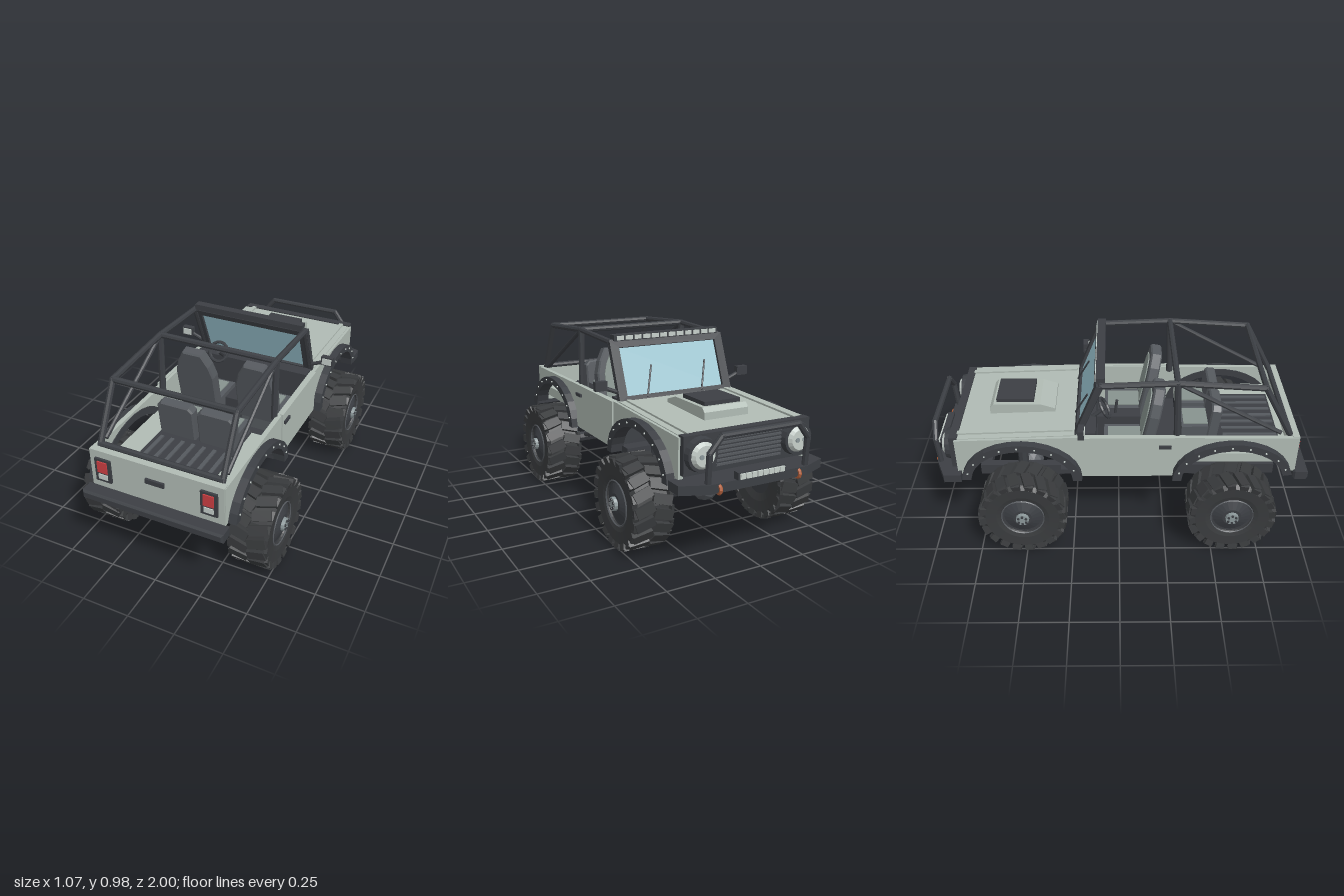
import * as THREE from 'three';
import { mergeGeometries } from 'three/addons/utils/BufferGeometryUtils.js';

const M = {};
for (const [name, color] of Object.entries({
  bodyPaint: 0xb0bbb4, darkTrim: 0x3c3f44, rubber: 0x393b3d, seatGrey: 0x55595e, seatPanel: 0x87938e,
  paleBlue: 0x9cc6d2, lampRed: 0xcc3f42, hookOrange: 0xb5613c, lampClear: 0xc6cfca, metal: 0x8b9799 })) {
  M[name] = new THREE.MeshStandardMaterial({ color });
  M[name].name = name;
}
M.paleBlue.side = THREE.DoubleSide;

const V = (x, y, z) => new THREE.Vector3(x, y, z);

// Faceted mesh
function mesh(parent, name, mat, geo, x = 0, y = 0, z = 0, rx = 0, ry = 0, rz = 0) {
  const g = geo.index ? geo.toNonIndexed() : geo;
  g.computeVertexNormals();
  const m = new THREE.Mesh(g, M[mat]);
  m.name = name;
  m.position.set(x, y, z);
  m.rotation.set(rx, ry, rz);
  parent.add(m);
  return m;
}
// Box from ranges on each axis
function box(p, name, mat, [x0, x1], [y0, y1], [z0, z1]) {
  return mesh(p, name, mat, new THREE.BoxGeometry(Math.abs(x1 - x0), y1 - y0, z1 - z0), (x0 + x1) / 2, (y0 + y1) / 2, (z0 + z1) / 2);
}
// Round bar between two points
function bar(p, name, a, b, r = 0.016, mat = 'darkTrim') {
  const d = b.clone().sub(a);
  const m = mesh(p, name, mat, new THREE.CylinderGeometry(r, r, d.length() + r * 0.8, 8));
  m.position.copy(a).add(b).multiplyScalar(0.5);
  m.quaternion.setFromUnitVectors(V(0, 1, 0), d.normalize());
  return m;
}
const poly = pts => new THREE.Shape(pts.map(([x, y]) => new THREE.Vector2(x, y)));
const solid = (shape, depth, bevel = 0) => new THREE.ExtrudeGeometry(shape,
  { depth, bevelEnabled: bevel > 0, bevelSize: bevel, bevelThickness: bevel, bevelSegments: 1 });
// Side profile of [z, y] points given thickness from x0 to x1
function sideSolid(p, name, mat, pts, x0, x1) {
  const g = solid(poly(pts), x1 - x0);
  g.rotateY(-Math.PI / 2).translate(x1, 0, 0);
  return mesh(p, name, mat, g);
}
// Elliptic wheel arch points from the rear end to the front end
function arch(cz, rx, ry, a0 = 0, a1 = Math.PI, n = 14) {
  return Array.from({ length: n + 1 }, (_, i) => {
    const a = a0 + (a1 - a0) * i / n;
    return [cz + rx * Math.cos(a), 0.4 + ry * Math.sin(a)];
  });
}

const REAR = 0.595, FRONT = -0.51;

function buildWheel(parent, s, z, lugs) {
  const w = new THREE.Group();
  w.name = 'wheel';
  w.position.set(s * 0.415, 0.237, z);
  w.rotation.z = -s * Math.PI / 2;
  parent.add(w);
  const profile = [[0.1, -0.08], [0.14, -0.092], [0.195, -0.098], [0.216, -0.08], [0.216, 0.08], [0.195, 0.098],
    [0.14, 0.094], [0.118, 0.088], [0.11, 0.07]].map(([r, y]) => new THREE.Vector2(r, y));
  mesh(w, 'tire', 'rubber', new THREE.LatheGeometry(profile, 32));
  mesh(w, 'treadBlocks', 'rubber', lugs);
  mesh(w, 'rim', 'darkTrim', new THREE.CylinderGeometry(0.112, 0.112, 0.15, 28));
  mesh(w, 'rimRing', 'seatGrey', new THREE.TorusGeometry(0.112, 0.004, 4, 28), 0, 0.089, 0, Math.PI / 2);
  mesh(w, 'rimCone', 'darkTrim', new THREE.CylinderGeometry(0.05, 0.1, 0.02, 20), 0, 0.085, 0);
  mesh(w, 'hub', 'metal', new THREE.CylinderGeometry(0.034, 0.036, 0.02, 12), 0, 0.102, 0);
  for (let i = 0; i < 6; i++) {
    const a = i * Math.PI / 3;
    mesh(w, 'wheelNut', 'darkTrim', new THREE.CylinderGeometry(0.007, 0.007, 0.008, 6), 0.023 * Math.cos(a), 0.114, 0.023 * Math.sin(a));
  }
}

// Two staggered rows of slanted tread blocks with shoulder lugs
function treadGeometry() {
  const parts = [], n = 20;
  for (const side of [-1, 1]) for (let i = 0; i < n; i++) {
    const a = (i + (side > 0 ? 0.5 : 0)) / n * Math.PI * 2;
    const block = new THREE.BoxGeometry(0.02, 0.098, 0.05).rotateX(side * 0.3).translate(0.223, side * 0.048, 0);
    const lug = new THREE.BoxGeometry(0.04, 0.018, 0.042).rotateZ(side * 0.25).translate(0.207, side * 0.092, side * 0.014);
    for (const g of [block, lug]) parts.push(g.rotateY(a));
  }
  return mergeGeometries(parts);
}

function buildChassis(g) {
  const lugs = treadGeometry();
  for (const s of [-1, 1]) {
    box(g, 'frameRail', 'darkTrim', [s * 0.215, s * 0.26], [0.335, 0.395], [-0.75, 0.84]);
    for (const z of [REAR, FRONT]) {
      buildWheel(g, s, z, lugs);
      const coil = Array.from({ length: 49 }, (_, i) => {
        const a = i / 48 * Math.PI * 9;
        return V(0.036 * Math.cos(a), 0.13 * i / 48, 0.036 * Math.sin(a));
      });
      mesh(g, 'coilSpring', 'paleBlue', new THREE.TubeGeometry(new THREE.CatmullRomCurve3(coil), 90, 0.006, 5), s * 0.283, 0.26, z);
      bar(g, 'shockAbsorber', V(s * 0.283, 0.25, z), V(s * 0.283, 0.45, z), 0.013, 'metal');
      bar(g, 'shockTower', V(s * 0.283, 0.39, z), V(s * 0.283, z < 0 ? 0.56 : 0.46, z), 0.028);
      bar(g, 'suspensionLink', V(s * 0.19, 0.25, z), V(s * 0.225, 0.35, z - Math.sign(z) * 0.33), 0.016);
    }
  }
  for (const z of [REAR, FRONT]) {
    bar(g, 'axle', V(-0.35, 0.24, z), V(0.35, 0.24, z), 0.03);
    mesh(g, 'differential', 'seatGrey', new THREE.IcosahedronGeometry(0.073, 1), 0, 0.232, z);
  }
  for (const z of [-0.72, -0.3, 0.25, 0.8]) box(g, 'crossMember', 'darkTrim', [-0.22, 0.22], [0.345, 0.388], [z - 0.025, z + 0.025]);
  box(g, 'gearbox', 'darkTrim', [-0.08, 0.08], [0.34, 0.42], [-0.3, 0.0]);
  bar(g, 'driveShaft', V(0, 0.25, REAR), V(0, 0.36, 0), 0.016);
  bar(g, 'driveShaft', V(0, 0.25, FRONT), V(0, 0.36, -0.25), 0.016);
}

function buildBody(g) {
  const side = [[0.925, 0.645], [0.925, 0.44], ...arch(REAR, 0.285, 0.21, 0.18), ...arch(FRONT, 0.285, 0.21), [-0.85, 0.43], [-0.85, 0.635], [-0.22, 0.655]];
  for (const s of [-1, 1]) {
    const at = (a, b) => s > 0 ? [a, b] : [-b, -a];
    sideSolid(g, 'sidePanel', 'bodyPaint', side, ...at(0.335, 0.36));
    box(g, 'door', 'bodyPaint', at(0.35, 0.368), [0.41, 0.655], [-0.19, 0.285]);
    box(g, 'doorHandle', 'darkTrim', at(0.36, 0.378), [0.592, 0.61], [0.205, 0.27]);
    for (const [cz, a0, a1] of [[REAR, 0.16, Math.PI], [FRONT, 0, Math.PI - 0.05]]) {
      sideSolid(g, 'fenderFlare', 'darkTrim',
        [...arch(cz, 0.315, 0.235, a0, a1), ...arch(cz, 0.268, 0.195, a0, a1).reverse()], ...at(0.33, 0.402));
      for (const [z, y] of arch(cz, 0.291, 0.215, 0.35, Math.PI - 0.25, 8))
        mesh(g, 'rivet', 'lampClear', new THREE.CylinderGeometry(0.005, 0.005, 0.006, 6), s * 0.404, y, z, 0, 0, Math.PI / 2);
    }
    // Tail lamps, headlamps and mirrors
    box(g, 'tailLampFrame', 'darkTrim', at(0.24, 0.326), [0.482, 0.612], [0.92, 0.942]);
    box(g, 'tailLamp', 'lampRed', at(0.256, 0.31), [0.537, 0.6], [0.94, 0.948]);
    box(g, 'reverseLamp', 'lampClear', at(0.258, 0.308), [0.498, 0.526], [0.94, 0.947]);
    mesh(g, 'headlampRing', 'darkTrim', new THREE.CylinderGeometry(0.078, 0.085, 0.035, 18), s * 0.265, 0.555, -0.89, -Math.PI / 2);
    mesh(g, 'headlamp', 'lampClear', new THREE.CylinderGeometry(0.05, 0.066, 0.02, 18), s * 0.265, 0.555, -0.915, -Math.PI / 2);
    for (const d of [-1, 1]) mesh(g, 'headlampBulb', 'metal', new THREE.CylinderGeometry(0.012, 0.012, 0.008, 8), s * 0.265 + d * 0.02, 0.555, -0.926, Math.PI / 2);
    bar(g, 'mirrorArm', V(s * 0.335, 0.7, -0.19), V(s * 0.42, 0.735, -0.19), 0.011);
    box(g, 'mirrorHousing', 'darkTrim', at(0.397, 0.463), [0.718, 0.767], [-0.205, -0.175]);
    box(g, 'mirrorGlass', 'lampClear', at(0.404, 0.456), [0.725, 0.76], [-0.176, -0.17]);
    // Hood edge ridges
    sideSolid(g, 'hoodRidge', 'bodyPaint', [[-0.24, 0.655], [-0.24, 0.668], [-0.84, 0.648], [-0.84, 0.635]], ...at(0.285, 0.31));
  }
  // Tailgate and bumper
  box(g, 'tailgate', 'bodyPaint', [-0.357, 0.357], [0.43, 0.65], [0.895, 0.93]);
  box(g, 'tailgateHandle', 'darkTrim', [-0.05, 0.05], [0.553, 0.578], [0.925, 0.942]);
  mesh(g, 'rearBumper', 'darkTrim', solid(poly([[-0.37, 0.4], [0.37, 0.4], [0.37, 0.43], [-0.37, 0.43]]), 0.06, 0.01), 0, 0, 0.93);
  // Hood with scoop
  sideSolid(g, 'hood', 'bodyPaint', [[-0.215, 0.66], [-0.215, 0.63], [-0.85, 0.61], [-0.85, 0.638]], -0.345, 0.345);
  sideSolid(g, 'hoodScoop', 'bodyPaint', [[-0.34, 0.675], [-0.34, 0.65], [-0.69, 0.64], [-0.69, 0.68], [-0.67, 0.702], [-0.42, 0.702]], -0.125, 0.125);
  box(g, 'scoopVent', 'darkTrim', [-0.102, 0.102], [0.695, 0.722], [-0.655, -0.455]);
  // Nose and grille
  box(g, 'nosePanel', 'darkTrim', [-0.35, 0.35], [0.46, 0.645], [-0.878, -0.835]);
  for (let i = 0; i < 7; i++) box(g, 'grilleSlat', 'seatGrey', [-0.18, 0.18], [0.485 + i * 0.02, 0.495 + i * 0.02], [-0.886, -0.87]);
  const bumper = solid(poly([[-0.4, 0.83], [0.4, 0.83], [0.4, 0.92], [0.27, 0.975], [-0.27, 0.975], [-0.4, 0.92]]), 0.045);
  mesh(g, 'frontBumper', 'darkTrim', bumper, 0, 0.395, 0, -Math.PI / 2);
  // Bull bar, tow hooks and lower lamp strip
  const hoop = [V(-0.27, 0.44, -0.955), V(-0.27, 0.58, -0.965), V(-0.21, 0.655, -0.97), V(0.21, 0.655, -0.97), V(0.27, 0.58, -0.965), V(0.27, 0.44, -0.955)];
  for (let i = 0; i < 5; i++) bar(g, 'bullBar', hoop[i], hoop[i + 1], 0.015);
  for (const x of [-0.22, 0.22])
    mesh(g, 'towHook', 'hookOrange', new THREE.TorusGeometry(0.02, 0.009, 6, 10), x, 0.41, -0.965, 0, Math.PI / 2);
  box(g, 'lampStripHousing', 'darkTrim', [-0.13, 0.13], [0.44, 0.475], [-0.985, -0.95]);
  for (let i = 0; i < 8; i++) box(g, 'stripLamp', 'lampClear', [-0.122 + i * 0.031, -0.095 + i * 0.031], [0.445, 0.47], [-0.995, -0.984]);
}

function buildInterior(g) {
  box(g, 'cabinFloor', 'darkTrim', [-0.34, 0.34], [0.4, 0.43], [-0.31, 0.33]);
  box(g, 'firewall', 'darkTrim', [-0.335, 0.335], [0.42, 0.64], [-0.23, -0.205]);
  box(g, 'dashboard', 'darkTrim', [-0.335, 0.335], [0.56, 0.665], [-0.21, -0.12]);
  box(g, 'centreConsole', 'darkTrim', [-0.04, 0.04], [0.42, 0.56], [-0.12, 0.12]);
  bar(g, 'gearLever', V(0, 0.55, -0.02), V(0, 0.64, -0.01), 0.008);
  mesh(g, 'steeringWheel', 'darkTrim', new THREE.TorusGeometry(0.055, 0.009, 6, 16), -0.176, 0.715, -0.075, -0.5);
  bar(g, 'steeringColumn', V(-0.176, 0.715, -0.075), V(-0.176, 0.65, -0.15), 0.012);
  box(g, 'loadTub', 'bodyPaint', [-0.335, 0.335], [0.475, 0.53], [0.33, 0.9]);
  box(g, 'tubUnderside', 'darkTrim', [-0.21, 0.21], [0.44, 0.476], [0.33, 0.88]);
  box(g, 'loadFloor', 'darkTrim', [-0.215, 0.215], [0.528, 0.536], [0.33, 0.86]);
  for (let i = 0; i < 7; i++) box(g, 'floorRib', 'seatGrey', [-0.19 + i * 0.06, -0.17 + i * 0.06], [0.535, 0.543], [0.56, 0.85]);
  for (const x of [-0.176, 0.176]) {
    // Front seat, leaning back
    const back = [[-0.105, 0], [0.105, 0], [0.105, 0.21], [0.085, 0.28], [0.05, 0.345], [-0.05, 0.345], [-0.085, 0.28], [-0.105, 0.21]];
    mesh(g, 'frontSeatBack', 'seatGrey', solid(poly(back), 0.045, 0.008), x, 0.52, 0.12, 0.2);
    mesh(g, 'frontSeatBackPanel', 'seatPanel', solid(poly(back.map(([a, b]) => [a * 0.7, 0.05 + b * 0.75])), 0.006), x, 0.523, 0.105, 0.2);
    box(g, 'frontSeatCushion', 'seatGrey', [x - 0.1, x + 0.1], [0.43, 0.535], [-0.08, 0.15]);
    box(g, 'frontSeatCushionPanel', 'seatPanel', [x - 0.07, x + 0.07], [0.534, 0.542], [-0.06, 0.12]);
  }
  for (const x of [-0.112, 0.112]) {
    const back = [[-0.094, 0], [0.094, 0], [0.094, 0.17], [0.075, 0.19], [-0.075, 0.19], [-0.094, 0.17]];
    mesh(g, 'rearSeatBack', 'seatGrey', solid(poly(back), 0.04, 0.008), x, 0.54, 0.475, 0.12);
    box(g, 'rearSeatCushion', 'seatGrey', [x - 0.095, x + 0.095], [0.535, 0.61], [0.335, 0.5]);
    box(g, 'rearSeatCushionPanel', 'seatPanel', [x - 0.07, x + 0.07], [0.609, 0.616], [0.345, 0.48]);
  }
}

function buildCage(g) {
  const X = 0.325;
  for (const s of [-1, 1]) {
    const p = (y, z) => V(s * X, y, z);
    const rail = [p(0.65, 0.88), p(0.93, 0.73), p(0.96, 0.29), p(0.945, -0.09), p(0.66, -0.21)];
    for (let i = 0; i < 4; i++) bar(g, 'cageRail', rail[i], rail[i + 1]);
    bar(g, 'cagePost', p(0.64, 0.3), p(0.96, 0.29), 0.018);
    bar(g, 'cageBrace', p(0.66, 0.83), p(0.955, 0.3), 0.012);
  }
  for (const [y, z] of [[0.655, 0.88], [0.93, 0.73], [0.96, 0.29], [0.945, -0.09]]) bar(g, 'cageCrossBar', V(-X, y, z), V(X, y, z));
  // Roof lamp bar
  box(g, 'roofLampBar', 'darkTrim', [-0.315, 0.315], [0.95, 0.982], [-0.115, -0.07]);
  for (let i = 0; i < 12; i++) box(g, 'roofLamp', 'lampClear', [-0.302 + i * 0.051, -0.262 + i * 0.051], [0.955, 0.977], [-0.12, -0.114]);
  // Raked windshield with wipers
  const w = new THREE.Group();
  w.name = 'windshield';
  w.position.set(0, 0.655, -0.215);
  w.rotation.x = 0.378;
  g.add(w);
  const frame = poly([[-0.34, -0.01], [0.34, -0.01], [0.34, 0.315], [-0.34, 0.315]]);
  frame.holes.push(poly([[-0.292, 0.022], [-0.292, 0.278], [0.292, 0.278], [0.292, 0.022]]));
  mesh(w, 'windshieldFrame', 'darkTrim', solid(frame, 0.03), 0, 0, -0.015);
  mesh(w, 'windshieldGlass', 'paleBlue', new THREE.PlaneGeometry(0.6, 0.27), 0, 0.15, 0);
  for (const x of [-0.15, 0.18]) bar(w, 'wiper', V(x, 0.01, -0.02), V(x - 0.055, 0.17, -0.012), 0.005);
}

export function createModel() {
  const g = new THREE.Group();
  g.name = 'offRoadVehicle';
  buildChassis(g);
  buildBody(g);
  buildInterior(g);
  buildCage(g);
  return g;
}
